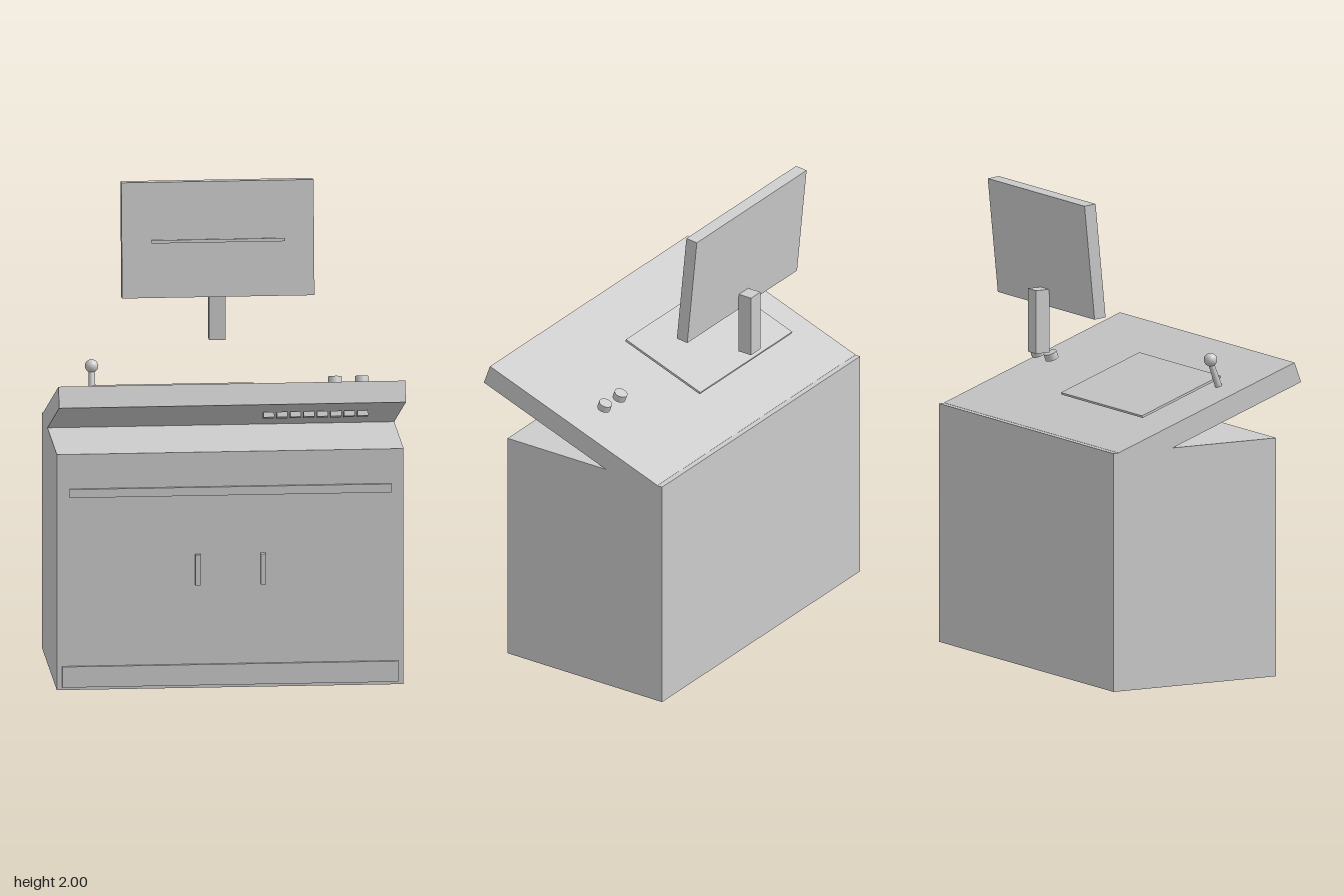
import * as THREE from 'three';

export function createModel() {
  const model = new THREE.Group();
  model.name = 'controlConsole';
  const grey = new THREE.MeshStandardMaterial({ color: 0xcccccc, side: THREE.DoubleSide });
  grey.name = 'light grey';

  const add = (parent, name, geometry, x, y, z) => {
    const mesh = new THREE.Mesh(geometry, grey);
    mesh.name = name;
    mesh.position.set(x, y, z);
    parent.add(mesh);
    return mesh;
  };
  const box = (parent, name, w, h, d, x, y, z) =>
    add(parent, name, new THREE.BoxGeometry(w, h, d), x, y, z);
  const group = (name, y, z, tilt) => {
    const g = new THREE.Group();
    g.name = name;
    g.position.set(0, y, z);
    g.rotation.x = tilt;
    model.add(g);
    return g;
  };

  // Cabinet, open underneath: the bottom face is dropped from the box
  const shell = new THREE.BoxGeometry(1.444, 1.003, 0.78);
  const index = Array.from(shell.index.array);
  index.splice(18, 6);
  shell.setIndex(index);
  shell.clearGroups();
  add(model, 'cabinet', shell, 0, 0.5015, -0.06);

  // Cabinet front trim
  box(model, 'upperTrim', 1.34, 0.036, 0.02, 0, 0.838, 0.332);
  box(model, 'kickPlate', 1.4, 0.088, 0.02, 0, 0.057, 0.332);
  for (const side of [-1, 1]) {
    box(model, 'doorHandle', 0.021, 0.13, 0.024, side * 0.136, 0.505, 0.341);
  }

  // Sloping control desk, with everything on it in its tilted frame
  const desk = group('controlDesk', 1.116, 0.0115, -0.35);
  box(desk, 'deskSlab', 1.444, 0.09, 0.9, 0, 0, 0);
  box(desk, 'touchPlate', 0.67, 0.01, 0.4, -0.225, 0.077, -0.016);
  for (const x of [0.466, 0.578]) {
    add(desk, 'knob', new THREE.CylinderGeometry(0.028, 0.028, 0.03, 24), x, 0.112, -0.036);
  }
  add(desk, 'leverShaft', new THREE.CylinderGeometry(0.012, 0.015, 0.12, 20), -0.56, 0.092, 0.161);
  add(desk, 'leverBall', new THREE.SphereGeometry(0.028, 24, 16), -0.56, 0.165, 0.164);
  for (let i = 0; i < 8; i++) {
    box(desk, 'button', 0.045, 0.022, 0.046, 0.167 + i * 0.0559, -0.06, 0.208);
  }

  // Monitor and its post
  box(model, 'monitorPost', 0.068, 0.266, 0.064, 0, 1.453, -0.391);
  const monitor = group('monitor', 1.755, -0.352, -0.1);
  box(monitor, 'monitorPanel', 0.8, 0.484, 0.053, 0, 0, 0);
  box(monitor, 'screenBar', 0.556, 0.013, 0.008, 0, -0.005, 0.044);

  return model;
}
